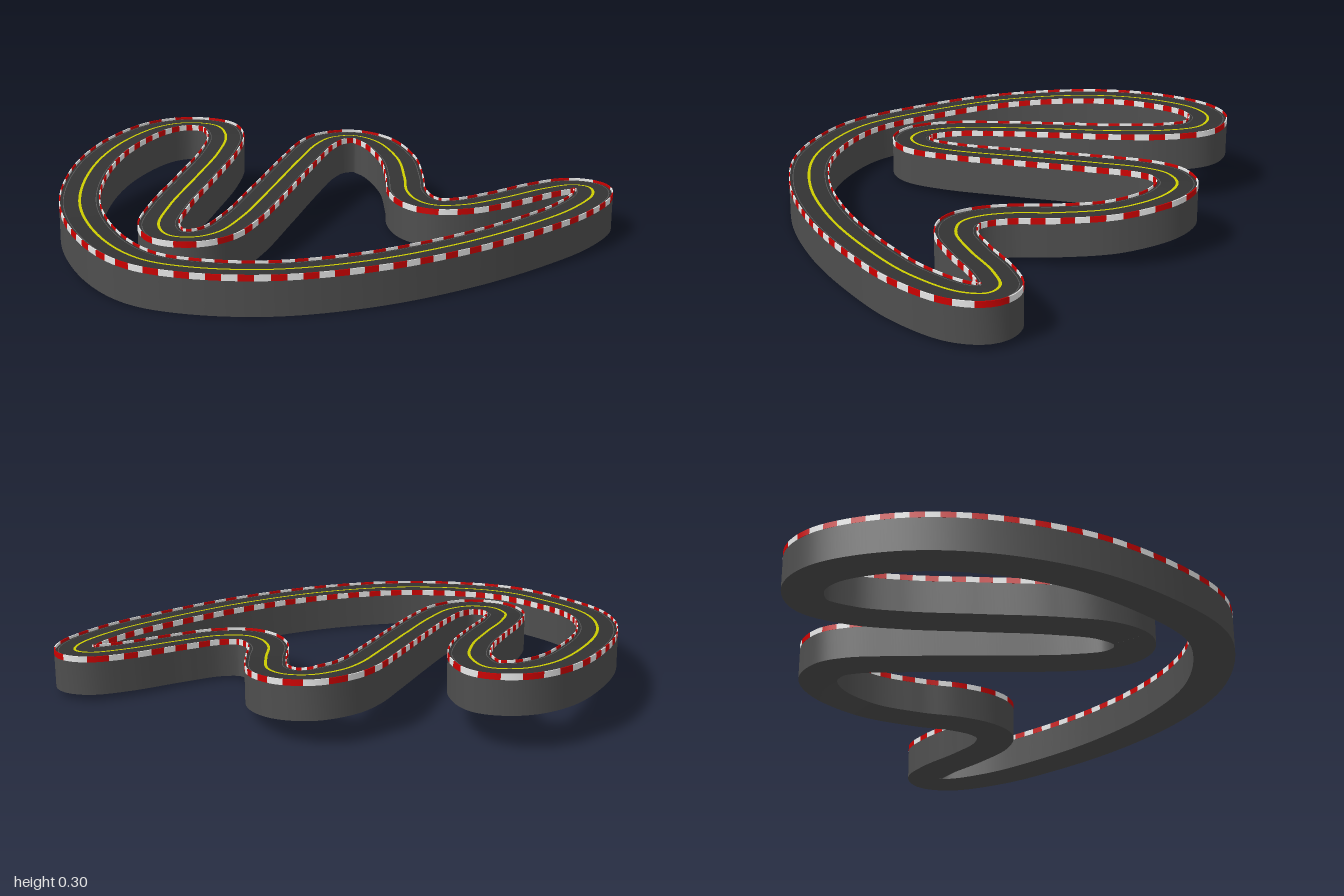
import * as THREE from 'three';

const N = 640;          // samples round the lap
const STRIPE = 4;       // samples per kerb block
const HALF = 0.08;      // half width of the track

// Centre line of the lap: x, z, height of the kerb top
const LAP = [
  [0.147, -0.926, 0.3], [0.285, -0.875, 0.3], [0.338, -0.765, 0.295], [0.258, -0.63, 0.285],
  [0.083, -0.51, 0.265], [-0.18, -0.39, 0.232], [-0.448, -0.275, 0.195], [-0.61, -0.175, 0.172],
  [-0.66, -0.07, 0.165], [-0.618, 0.015, 0.165], [-0.52, 0.05, 0.168], [-0.34, 0.012, 0.18],
  [-0.023, -0.107, 0.21], [0.295, -0.233, 0.24], [0.5, -0.306, 0.257], [0.613, -0.315, 0.262],
  [0.71, -0.265, 0.258], [0.737, -0.16, 0.243], [0.666, 0.005, 0.212], [0.507, 0.165, 0.186],
  [0.38, 0.273, 0.174], [0.316, 0.375, 0.168], [0.312, 0.462, 0.166], [0.39, 0.55, 0.167],
  [0.56, 0.62, 0.17], [0.772, 0.685, 0.176], [0.89, 0.75, 0.179], [0.908, 0.815, 0.178],
  [0.836, 0.878, 0.175], [0.613, 0.915, 0.171], [0.35, 0.895, 0.167], [-0.023, 0.82, 0.163],
  [-0.395, 0.675, 0.159], [-0.687, 0.468, 0.156], [-0.86, 0.22, 0.156], [-0.915, 0.03, 0.16],
  [-0.868, -0.22, 0.175], [-0.713, -0.505, 0.21], [-0.448, -0.735, 0.253], [-0.156, -0.873, 0.285],
];

// Evenly spaced stations, each with its sideways direction
function makeStations() {
  const curve = new THREE.CatmullRomCurve3(LAP.map(([x, z, y]) => new THREE.Vector3(x, y, z)), true);
  const pts = curve.getSpacedPoints(N).slice(0, N);
  return pts.map((p, i) => {
    const t = pts[(i + 1) % N].clone().sub(pts[(i + N - 1) % N]).setY(0).normalize();
    return { p, side: new THREE.Vector3(t.z, 0, -t.x) };
  });
}

// Sweep a counter-clockwise (sideways, up) profile round the lap, edges kept sharp
function sweep(stations, profile, closed) {
  const faces = closed ? profile.length : profile.length - 1;
  const pos = [], idx = [];
  for (const { p, side } of stations) {
    for (let f = 0; f < faces; f++) {
      for (const [u, v] of [profile[f], profile[(f + 1) % profile.length]]) {
        pos.push(p.x + side.x * u, p.y + v, p.z + side.z * u);
      }
    }
  }
  const row = faces * 2;
  for (let i = 0; i < N; i++) {
    const j = (i + 1) % N;
    for (let f = 0; f < faces; f++) {
      const a = i * row + f * 2, d = j * row + f * 2;
      idx.push(a, a + 1, d + 1, a, d + 1, d);
    }
  }
  const geo = new THREE.BufferGeometry();
  geo.setAttribute('position', new THREE.Float32BufferAttribute(pos, 3));
  geo.setIndex(idx);
  geo.computeVertexNormals();
  return geo;
}

const rect = (u0, u1, v0, v1) => [[u0, v0], [u1, v0], [u1, v1], [u0, v1]];
const strip = (u, w, v) => [[u + w / 2, v], [u - w / 2, v]];

export function createModel() {
  const mat = (name, color) => {
    const m = new THREE.MeshStandardMaterial({ color });
    m.name = name;
    return m;
  };
  const asphalt = mat('asphalt', 0x333333);
  const concrete = mat('concrete', 0x4e4e4e);
  const red = mat('kerb red', 0xcc0000);
  const white = mat('kerb white', 0xf0f0f0);
  const yellow = mat('line yellow', 0xcccc00);
  const grey = mat('edge line grey', 0x5a5a5a);

  const stations = makeStations();
  const model = new THREE.Group();
  model.name = 'raceTrack';
  const add = (name, geo, material) => {
    const mesh = new THREE.Mesh(geo, material);
    mesh.name = name;
    model.add(mesh);
  };

  // Solid base under the road
  add('base', sweep(stations, [[-HALF, -0.022], [-HALF, -0.156], [HALF, -0.156], [HALF, -0.022]], false), concrete);

  // Road surface and painted lines
  add('road', sweep(stations, strip(0, HALF * 2, -0.01), false), asphalt);
  add('centreLine', sweep(stations, strip(0, 0.011, -0.007), false), yellow);

  for (const s of [-1, 1]) {
    const label = s > 0 ? 'Left' : 'Right';
    add('edgeLine' + label, sweep(stations, strip(s * 0.064, 0.003, -0.008), false), grey);

    // Kerb with alternating blocks
    const inner = s * (HALF - 0.004), outer = s * (HALF + 0.0005);
    const geo = sweep(stations, rect(Math.min(inner, outer), Math.max(inner, outer), -0.023, 0), true);
    const block = STRIPE * 4 * 6;
    for (let k = 0; k < N / STRIPE; k++) geo.addGroup(k * block, block, k % 2);
    add('kerb' + label, geo, [red, white]);
  }
  return model;
}
